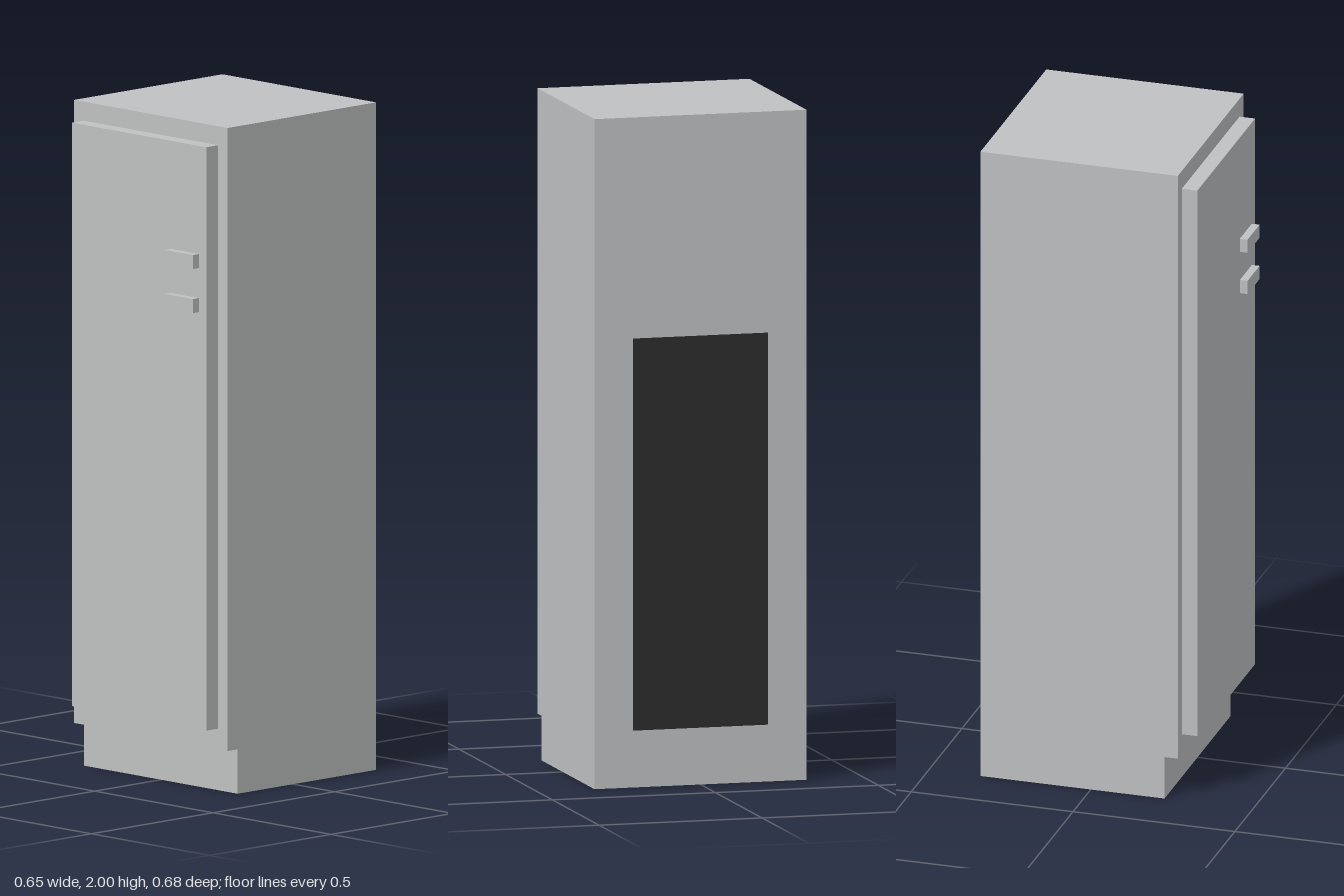
import * as THREE from 'three';

// Box given by its extents on each axis
function block(name, material, [x0, x1], [y0, y1], [z0, z1]) {
  const mesh = new THREE.Mesh(new THREE.BoxGeometry(x1 - x0, y1 - y0, z1 - z0), material);
  mesh.position.set((x0 + x1) / 2, (y0 + y1) / 2, (z0 + z1) / 2);
  mesh.name = name;
  return mesh;
}

export function createModel() {
  const group = new THREE.Group();
  group.name = 'tallCabinet';

  const grey = new THREE.MeshStandardMaterial({ color: 0xbfc1c2 });
  grey.name = 'light grey';
  const black = new THREE.MeshStandardMaterial({ color: 0x2c2c2c });
  black.name = 'black';

  const back = -0.341;
  const bodyFront = 0.269;
  const doorFront = 0.317;

  // Side profile of the cabinet, with the recessed toe kick at the front
  const profile = new THREE.Shape([
    [back, 0], [0.228, 0], [0.228, 0.133], [bodyFront, 0.133], [bodyFront, 2], [back, 2],
  ].map(([z, y]) => new THREE.Vector2(-z, y)));
  const bodyGeometry = new THREE.ExtrudeGeometry(profile, { depth: 0.65, bevelEnabled: false });
  bodyGeometry.translate(0, 0, -0.325).rotateY(Math.PI / 2);
  const body = new THREE.Mesh(bodyGeometry, grey);
  body.name = 'cabinetBody';
  group.add(body);

  // Door with two handles
  group.add(block('door', grey, [-0.285, 0.284], [0.195, 1.943], [bodyFront, doorFront]));
  for (const [name, y] of [['upperHandle', 1.598], ['lowerHandle', 1.466]]) {
    group.add(block(name, grey, [0.133, 0.252], [y - 0.021, y + 0.021], [doorFront, 0.341]));
  }

  // Dark panel on the back
  group.add(block('backPanel', black, [-0.207, 0.207], [0.17, 1.34], [back - 0.002, back]));

  return group;
}
